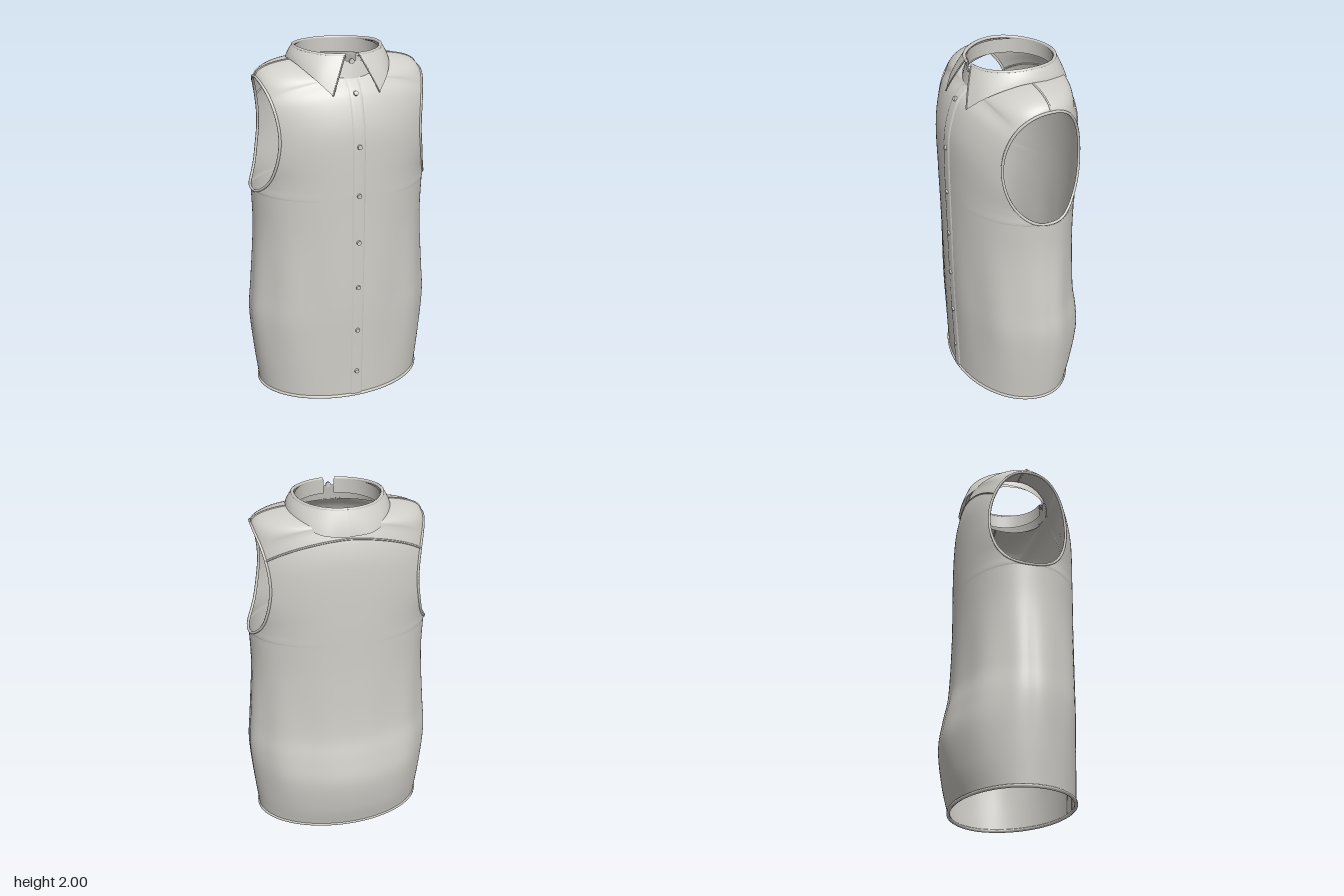
import * as THREE from 'three';
import { mergeGeometries, mergeVertices } from 'three/addons/utils/BufferGeometryUtils.js';

const PI = Math.PI;
const V = (x, y, z) => new THREE.Vector3(x, y, z);

// Smooth interpolation through [y, value] pairs
function profile(pts) {
  const slope = i => {
    const a = pts[Math.max(i - 1, 0)], b = pts[Math.min(i + 1, pts.length - 1)];
    return (b[1] - a[1]) / (b[0] - a[0]);
  };
  return y => {
    let i = 0;
    while (i < pts.length - 2 && y > pts[i + 1][0]) i++;
    const [y0, v0] = pts[i], [y1, v1] = pts[i + 1], h = y1 - y0;
    const t = THREE.MathUtils.clamp((y - y0) / h, 0, 1), t2 = t * t, t3 = t2 * t;
    return v0 * (2 * t3 - 3 * t2 + 1) + slope(i) * h * (t3 - 2 * t2 + t)
      + v1 * (3 * t2 - 2 * t3) + slope(i + 1) * h * (t3 - t2);
  };
}

// Body measurements by height
const frontZ = profile([[0, 0.345], [0.3, 0.352], [0.6, 0.36], [1, 0.363], [1.5, 0.363], [1.65, 0.348], [1.8, 0.295], [1.86, 0.237]]);
const backZ = profile([[0, 0.305], [0.15, 0.345], [0.35, 0.37], [0.5, 0.35], [0.65, 0.322], [1, 0.312], [1.4, 0.315], [1.7, 0.307], [1.82, 0.285], [1.9, 0.255]]);
const halfWidth = profile([[0, 0.488], [0.25, 0.514], [0.48, 0.528], [0.65, 0.515], [0.9, 0.497], [1.05, 0.492], [1.23, 0.497]]);
const armholeX = profile([[1.23, 0.497], [1.28, 0.46], [1.35, 0.43], [1.5, 0.4], [1.6, 0.397], [1.7, 0.41], [1.78, 0.43], [1.85, 0.457]]);

// Shirt surface: s runs from centre line to side, t = 0..1 hem to underarm, 1..2 up the armhole
function torso(s, t, sx, sz) {
  const depth = sz > 0 ? frontZ : backZ;
  if (t <= 1) {
    const y = 1.23 * t, a = s * PI / 2;
    const fold = 1 + 0.01 * Math.sin(10 * a) * Math.sin(PI * t) ** 2;
    return V(sx * halfWidth(y) * Math.sin(a) * fold, y, sz * depth(y) * Math.cos(a) * fold);
  }
  const al = (t - 1) * PI, corner = 0.75 * PI;
  const neckY = sz > 0 ? 1.86 : 1.9, neckZ = sz > 0 ? 0.237 : 0.255;
  const oy = 1.54 - 0.31 * Math.cos(al), ox = armholeX(oy);
  const oz = (sz > 0 ? 0.235 : 0.21) * Math.max(Math.sin(al), 0) ** 0.85;
  let ix = 0, iy, iz;
  if (al < corner) {
    iy = 1.23 + (neckY - 1.23) * (1 - Math.cos(al)) / (1 - Math.cos(corner));
    iz = depth(iy);
  } else {
    const b = (al - corner) / (PI - corner) * PI / 2;
    ix = 0.245 * Math.sin(b);
    iy = neckY + (1.93 - neckY) * Math.sin(b) ** 2;
    iz = neckZ * Math.cos(b);
  }
  const m = Math.acos(oz / (sz > 0 ? 0.363 : 0.315)), f = s * m;
  return V(
    sx * (ix + (ox - ix) * Math.sin(f) / Math.sin(m)),
    iy + (oy - iy) * s ** 1.7,
    sz * (oz + (iz - oz) * (Math.cos(f) - Math.cos(m)) / (1 - Math.cos(m))));
}

// Grid surface from a function of u and v in 0..1
function surface(fn, nu, nv, flip = false) {
  const pos = [], idx = [];
  for (let j = 0; j <= nv; j++)
    for (let i = 0; i <= nu; i++) pos.push(...fn(i / nu, j / nv).toArray());
  for (let j = 0; j < nv; j++)
    for (let i = 0; i < nu; i++) {
      const a = j * (nu + 1) + i, b = a + 1, c = a + nu + 1, d = c + 1;
      idx.push(...(flip ? [a, d, b, a, c, d] : [a, b, d, a, d, c]));
    }
  const g = new THREE.BufferGeometry();
  g.setAttribute('position', new THREE.Float32BufferAttribute(pos, 3));
  g.setIndex(idx);
  g.computeVertexNormals();
  return g;
}

const tube = (pts, r, closed = false) =>
  new THREE.TubeGeometry(new THREE.CatmullRomCurve3(pts, closed), pts.length * 2, r, 6, closed);
const samples = (n, fn) => Array.from({ length: n + 1 }, (_, i) => fn(i / n));

export function createModel() {
  const shirt = new THREE.Group();
  shirt.name = 'sleevelessShirt';
  const cloth = new THREE.MeshStandardMaterial({ color: 0xd2d0ca, side: THREE.DoubleSide });
  cloth.name = 'pale grey cloth';
  const add = (name, geo) => {
    const mesh = new THREE.Mesh(geo, cloth);
    mesh.name = name;
    shirt.add(mesh);
    return mesh;
  };

  // Body: four mirrored quarters welded together
  const quarters = [];
  for (const sx of [1, -1])
    for (const sz of [1, -1]) {
      const g = surface((u, v) => torso(u, 2 * v, sx, sz), 28, 88, sx * sz < 0);
      g.deleteAttribute('normal');
      quarters.push(g);
    }
  const body = mergeVertices(mergeGeometries(quarters), 1e-4);
  body.computeVertexNormals();
  add('body', body);

  // Bottom hem
  const hem = [];
  for (let i = 0; i < 64; i++) {
    const a = i / 64 * 2 * PI, z = Math.cos(a);
    hem.push(V(0.488 * Math.sin(a), 0.01, z * (z > 0 ? 0.345 : 0.305)));
  }
  add('hem', tube(hem, 0.01, true));

  // Armhole edging and shoulder seams
  for (const sx of [1, -1]) {
    const side = sx > 0 ? 'left' : 'right';
    const front = samples(24, k => torso(1, 1 + k, sx, 1));
    const back = samples(24, k => torso(1, 2 - k, sx, -1));
    add(side + 'ArmholeEdge', tube([...front.slice(0, -1), ...back.slice(0, -1)], 0.008, true));
    add(side + 'ShoulderSeam', tube(samples(12, k => torso(k, 2, sx, 1)), 0.005));
  }

  // Yoke seam across the back
  add('yokeSeam', tube(samples(40, k => torso(Math.abs(2 * k - 1), 1.68, k < 0.5 ? -1 : 1, -1)), 0.005));

  // Button placket
  add('placket', surface((u, v) => {
    const y = 0.005 + 1.85 * v, e = 2 * u - 1;
    return V(-0.005 + 0.038 * e, y, frontZ(y) + 0.005 - 0.008 * e ** 6);
  }, 12, 60));

  // Buttons
  for (let i = 0; i < 7; i++) {
    const y = 0.17 + 0.271 * i;
    const button = add('button', new THREE.CylinderGeometry(0.012, 0.014, 0.012, 16));
    const tilt = Math.atan((frontZ(y + 0.01) - frontZ(y - 0.01)) / 0.02);
    button.rotation.x = PI / 2 + tilt;
    button.position.set(-0.005, y, frontZ(y) + 0.008);
  }

  // Collar: closed neck band, then the open stand
  const ring = (a, r, y) => V(r * Math.sin(a), y, r * Math.cos(a) - 0.01);
  add('neckBand', surface((u, v) => {
    const a = u * 2 * PI;
    return ring(a, 0.25 - 0.02 * v, 1.855 + 0.035 * (1 - Math.cos(a)) * (1 - v) + 0.09 * v);
  }, 64, 4));
  add('collarStand', surface((u, v) =>
    ring(0.12 + u * (2 * PI - 0.24), 0.226 - 0.004 * v, 1.9 + 0.08 * v), 64, 3));
  add('collarButton', new THREE.CylinderGeometry(0.014, 0.014, 0.012, 16).rotateX(PI / 2).translate(0, 1.945, 0.224));

  // Folded collar leaves with front points
  const topEdge = a => ring(a, 0.243, 1.978 + 0.012 * Math.sin(a) ** 4);
  for (const sx of [1, -1]) {
    const lower = new THREE.CatmullRomCurve3([
      V(0.128, 1.79, 0.302), V(0.2, 1.865, 0.228), V(0.262, 1.925, 0.08), V(0.27, 1.928, -0.06),
      V(0.215, 1.89, -0.205), V(0.13, 1.86, -0.278), V(0, 1.85, -0.297)]);
    const leaf = (u, v) => {
      const p = lower.getPoint(u).lerp(topEdge(0.16 + u * (PI - 0.16)), v);
      const bulge = 1 + 0.06 * v * (1 - v);
      return V(sx * p.x * bulge, p.y, p.z * bulge);
    };
    const side = sx > 0 ? 'left' : 'right';
    add(side + 'CollarLeaf', surface(leaf, 40, 8, sx < 0));
    add(side + 'CollarLeafEdge', tube(samples(10, k => leaf(0, k)), 0.004));
    add(side + 'CollarFold', tube(samples(24, k => {
      const p = topEdge(0.14 + k * (PI - 0.14));
      return V(sx * p.x * 0.965, p.y, (p.z + 0.01) * 0.965 - 0.01);
    }), 0.01));
  }
  return shirt;
}
